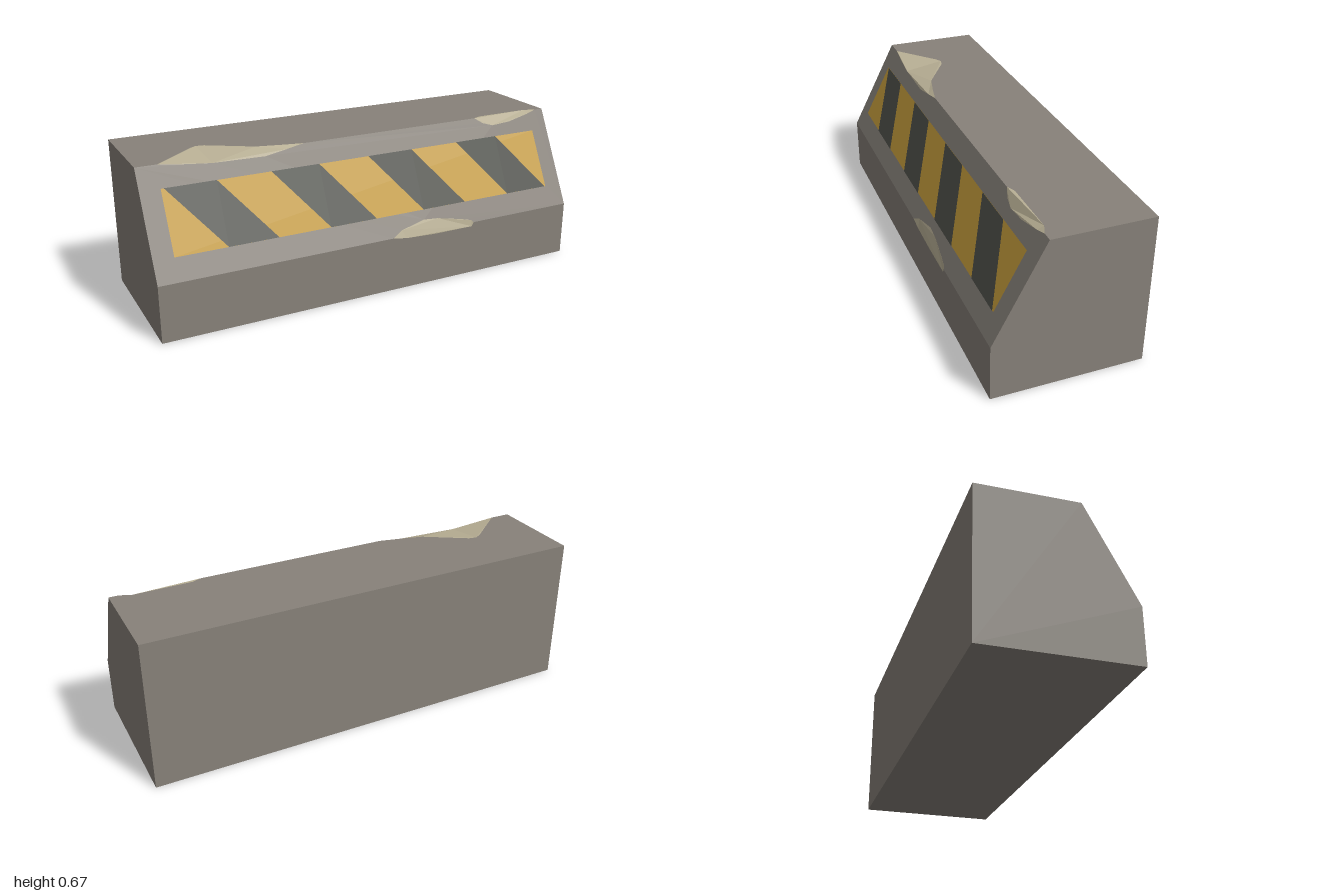
import * as THREE from 'three';

const L = 0.9925, D = 0.325, H = 0.665, Y0 = 0.247, Z1 = 0.107; // half length, half depth, height, slope start, slope top
const UP = new THREE.Vector3(0, 1, 0), FRONT = new THREE.Vector3(0, 0, 1);
const SLOPE = new THREE.Vector3(0, D - Z1, H - Y0).normalize();

// points lying on the top, the sloped face and the front face
const onTop = ([x, z]) => new THREE.Vector3(x, H, z);
const onFront = ([x, y]) => new THREE.Vector3(x, y, D);
const onSlope = ([x, y], lift = 0) =>
  new THREE.Vector3(x, y, D - (y - Y0) * (D - Z1) / (H - Y0)).addScaledVector(SLOPE, lift);

// triangulates a polygon seen along one axis and turns every triangle outward
function polygon(points, outward, axis) {
  const [u, v] = ['x', 'y', 'z'].filter((a) => a !== axis);
  const flat = points.map((p) => new THREE.Vector2(p[u], p[v]));
  if (THREE.ShapeUtils.isClockWise(flat)) { flat.reverse(); points = [...points].reverse(); }
  const out = [];
  for (const t of THREE.ShapeUtils.triangulateShape(flat, [])) {
    const [a, b, c] = t.map((i) => points[i]);
    const n = b.clone().sub(a).cross(c.clone().sub(a));
    out.push(...(n.dot(outward) > 0 ? [a, b, c] : [a, c, b]));
  }
  return out;
}

function mesh(name, triangles, material) {
  const g = new THREE.BufferGeometry().setFromPoints(triangles);
  g.computeVertexNormals();
  const m = new THREE.Mesh(g, material);
  m.name = name;
  return m;
}

function material(name, color) {
  const m = new THREE.MeshStandardMaterial({ color });
  m.name = name;
  return m;
}

export function createModel() {
  const concrete = material('concrete', 0x88827a);
  const chipped = material('chipped concrete', 0xb9b095);
  const yellow = material('yellow paint', 0xc39b3b);
  const dark = material('dark paint', 0x4c4e47);

  // rims of the broken edges, left to right: ends on the edge, then the rim on each face
  const topChips = [
    {
      ends: [-0.9, -0.27],
      top: [[-0.72, -0.045], [-0.69, -0.062], [-0.655, -0.056], [-0.47, 0.06], [-0.36, 0.088]],
      slope: [[-0.8, 0.652], [-0.68, 0.641], [-0.45, 0.637], [-0.35, 0.652]],
    },
    {
      ends: [0.6, 0.95],
      top: [[0.64, 0.09], [0.9, 0.087]],
      slope: [[0.64, 0.64], [0.69, 0.625], [0.79, 0.631], [0.9, 0.652]],
    },
  ];
  const lowChip = {
    ends: [0.05, 0.47],
    slope: [[0.1, 0.272], [0.22, 0.296], [0.29, 0.291], [0.41, 0.269], [0.46, 0.257]],
    front: [[0.12, 0.236], [0.26, 0.229], [0.46, 0.229]],
  };

  // outlines notched by the chips
  const notch = (c, face, y) => [[c.ends[0], y], ...c[face], [c.ends[1], y]];
  const topLine = topChips.flatMap((c) => notch(c, 'top', Z1));
  const slopeLine = topChips.flatMap((c) => notch(c, 'slope', H));
  const top = [[-L, -D], [-L, Z1], ...topLine, [L, Z1], [L, -D]].map(onTop);
  const slope = [[-L, Y0], [-L, H], ...slopeLine, [L, H], [L, Y0],
    ...notch(lowChip, 'slope', Y0).reverse()].map((p) => onSlope(p));
  const front = [[-L, 0], [-L, Y0], ...notch(lowChip, 'front', Y0), [L, Y0], [L, 0]].map(onFront);

  // plain ends, back and underside
  const V = (x, y, z) => new THREE.Vector3(x, y, z);
  const end = (x) => polygon(
    [[0, -D], [H, -D], [H, Z1], [Y0, D], [0, D]].map(([y, z]) => V(x, y, z)), V(x, 0, 0), 'x');
  const back = [V(-L, 0, -D), V(L, 0, -D), V(L, H, -D), V(-L, H, -D)];
  const base = [V(-L, 0, -D), V(L, 0, -D), V(L, 0, D), V(-L, 0, D)];

  const barrier = new THREE.Group();
  barrier.name = 'barrier';
  barrier.add(mesh('concreteBlock', [
    ...polygon(top, UP, 'y'), ...polygon(slope, SLOPE, 'z'), ...polygon(front, FRONT, 'z'),
    ...polygon(back, V(0, 0, -1), 'z'), ...polygon(base, V(0, -1, 0), 'y'),
    ...end(-L), ...end(L),
  ], concrete));

  // broken facets bridging the two rims
  topChips.forEach((c, i) => {
    const rim = [...notch(c, 'top', Z1).map(onTop), ...c.slope.map((p) => onSlope(p)).reverse()];
    barrier.add(mesh(`topChip${i + 1}`, polygon(rim, UP, 'y'), chipped));
  });
  const lowRim = [...notch(lowChip, 'slope', Y0).map((p) => onSlope(p)), ...lowChip.front.map(onFront).reverse()];
  barrier.add(mesh('lowerChip', polygon(lowRim, FRONT, 'z'), chipped));

  // painted hazard panel
  const W = 0.907, P0 = 0.335, P1 = 0.578;
  const painted = (pts, lift) => polygon(pts.map((p) => onSlope(p, lift)), SLOPE, 'z');
  barrier.add(mesh('yellowPanel', painted([[-W, P0], [W, P0], [W, P1], [-W, P1]], 0.002), yellow));
  for (let i = 0; i < 4; i++) {
    const x = -0.895 + i * 0.455;
    barrier.add(mesh(`darkStripe${i + 1}`, painted(
      [[x, P1], [x + 0.218, P1], [x + 0.43, P0], [x + 0.212, P0]], 0.004), dark));
  }

  // set down slightly askew
  barrier.rotation.y = -0.023;
  const model = new THREE.Group();
  model.name = 'roadBarrier';
  model.add(barrier);
  return model;
}
